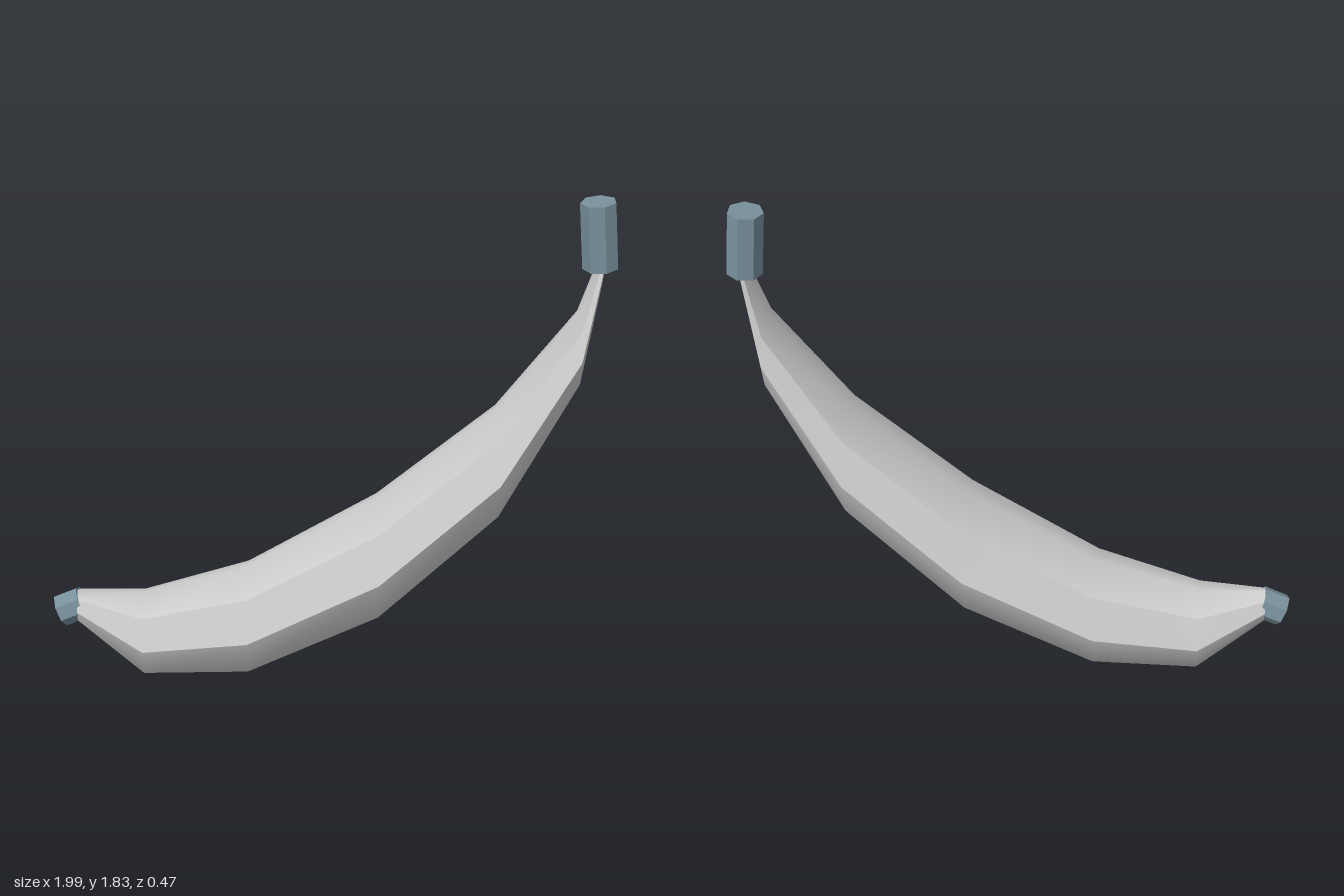
import * as THREE from 'three';

// Stations along the fruit: x, centre height, radius
const STATIONS = [
  [-0.91, 0.275, 0.06], [-0.67, 0.165, 0.16], [-0.29, 0.227, 0.21], [0.18, 0.48, 0.235],
  [0.6, 0.86, 0.21], [0.87, 1.297, 0.137], [0.937, 1.6, 0.056],
];

// Strip of octagon faces from corner a to corner b, smooth within the strip
function strip(a, b) {
  const pos = [], index = [], n = b - a + 1;
  for (const [x, y, r] of STATIONS) {
    for (let k = a; k <= b; k++) {
      const t = (k * Math.PI) / 4;
      pos.push(x, y + r * Math.sin(t), r * Math.cos(t));
    }
  }
  for (let i = 0; i < STATIONS.length - 1; i++) {
    for (let j = 0; j < n - 1; j++) {
      const p = i * n + j, q = p + n;
      index.push(p, q, q + 1, p, q + 1, p + 1);
    }
  }
  const g = new THREE.BufferGeometry();
  g.setAttribute('position', new THREE.Float32BufferAttribute(pos, 3));
  g.setIndex(index);
  g.computeVertexNormals();
  return g;
}

// Seven-sided prism between two points in the x-y plane
function prism(name, from, to, radius, material) {
  const dx = to[0] - from[0], dy = to[1] - from[1];
  const g = new THREE.CylinderGeometry(radius, radius, Math.hypot(dx, dy), 7, 1, false, -Math.PI / 2);
  const mesh = new THREE.Mesh(g, material);
  mesh.position.set((from[0] + to[0]) / 2, (from[1] + to[1]) / 2, 0);
  mesh.rotation.z = Math.atan2(-dx, dy);
  mesh.name = name;
  return mesh;
}

export function createModel() {
  const model = new THREE.Group();
  model.name = 'banana';
  const skin = new THREE.MeshStandardMaterial({ color: 0xcccccc });
  const stemMat = new THREE.MeshStandardMaterial({ color: 0x78909c, flatShading: true });

  // Peel: creases run along the upper sides, the belly and the top are smooth
  const peel = new THREE.Group();
  peel.name = 'peel';
  const strips = { frontSide: [0, 1], top: [1, 3], backSide: [3, 4], belly: [4, 8] };
  for (const [name, [a, b]] of Object.entries(strips)) {
    const mesh = new THREE.Mesh(strip(a, b), skin);
    mesh.name = name;
    peel.add(mesh);
  }

  // Closed ends of the peel
  for (const [x, y, r] of [STATIONS[0], STATIONS[STATIONS.length - 1]]) {
    const end = new THREE.Mesh(new THREE.CircleGeometry(r, 8), skin);
    end.position.set(x, y, 0);
    end.rotation.y = (Math.sign(x) * Math.PI) / 2;
    end.name = 'peelEnd';
    peel.add(end);
  }
  model.add(peel);

  // Stem at the top and blossom tip at the low end
  model.add(prism('stem', [0.932, 1.594], [0.913, 1.832], 0.063, stemMat));
  model.add(prism('blossomTip', [-0.975, 0.252], [-0.893, 0.287], 0.06, stemMat));
  return model;
}
